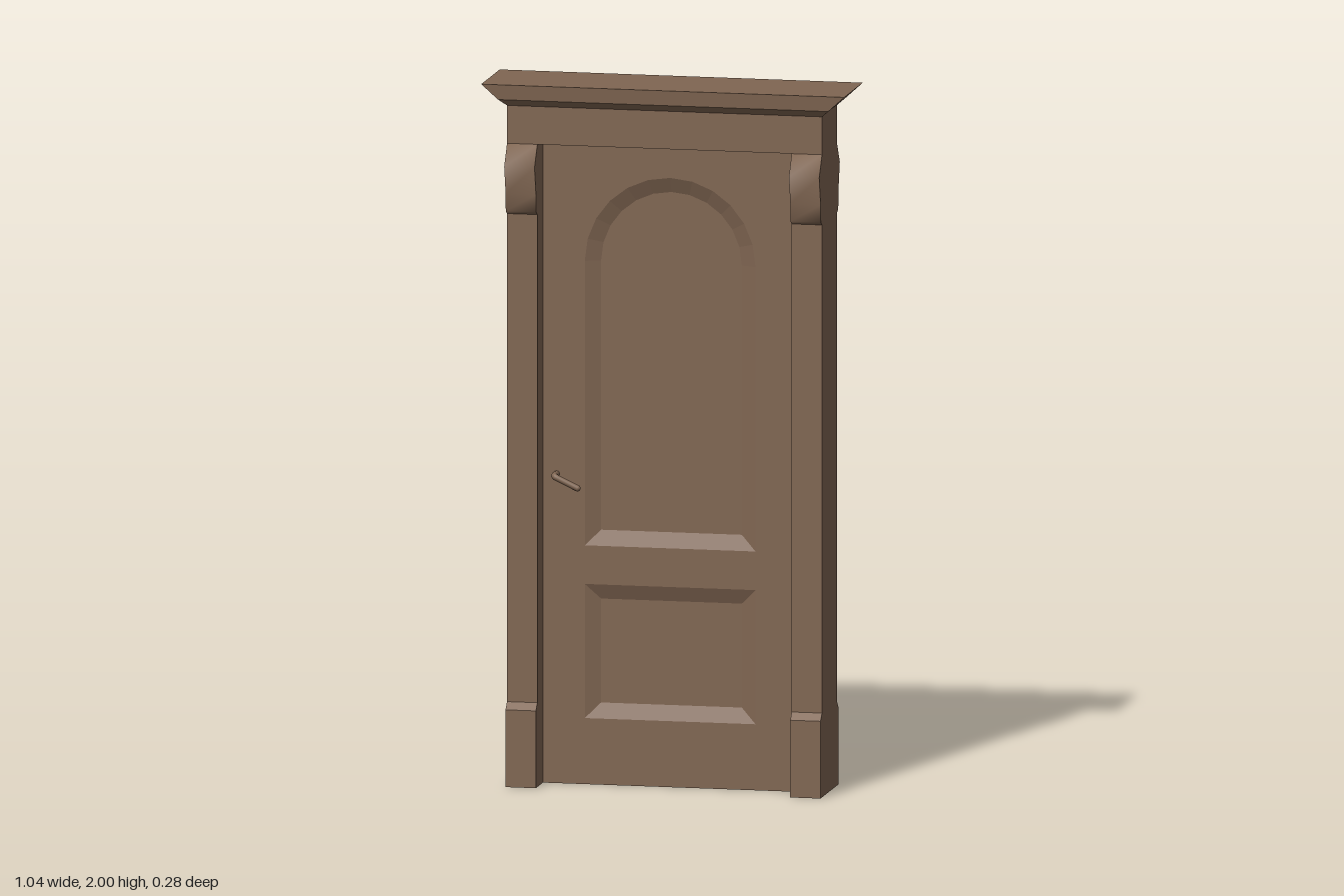
import * as THREE from 'three';
import { toCreasedNormals } from 'three/addons/utils/BufferGeometryUtils.js';
import { ConvexGeometry } from 'three/addons/geometries/ConvexGeometry.js';

const wood = new THREE.MeshStandardMaterial({ color: 0x806652 });
wood.name = 'brownWood';

const INNER = 0.365, OUTER = 0.452, DEPTH = 0.1; // frame opening, outside, half depth
const HEAD = 1.83;                               // underside of the lintel
const FACE = 0.025, RECESS = 0.018;              // door face and panel depth

function add(parent, name, geometry) {
  const mesh = new THREE.Mesh(geometry, wood);
  mesh.name = name;
  parent.add(mesh);
  return mesh;
}

// Extrudes a side profile of [z, y] pairs, mirrored front to back, across a post
function postPiece(profile, crease) {
  const front = profile.map(([z, y]) => new THREE.Vector2(-z, y));
  const back = profile.map(([z, y]) => new THREE.Vector2(z, y)).reverse();
  const geo = new THREE.ExtrudeGeometry(new THREE.Shape([...front, ...back]), {
    depth: OUTER - INNER, bevelEnabled: false,
  });
  geo.rotateY(Math.PI / 2);
  return toCreasedNormals(geo, crease);
}

// Counter-clockwise panel outline, with a flat or round top
function outline(halfWidth, bottom, top, arched) {
  const pts = [new THREE.Vector2(-halfWidth, bottom), new THREE.Vector2(halfWidth, bottom)];
  if (!arched) {
    pts.push(new THREE.Vector2(halfWidth, top), new THREE.Vector2(-halfWidth, top));
    return pts;
  }
  const n = 12;
  for (let i = 0; i <= n; i++) {
    const a = (i / n) * Math.PI;
    pts.push(new THREE.Vector2(halfWidth * Math.cos(a), top - halfWidth + halfWidth * Math.sin(a)));
  }
  return pts;
}

// Sloping band from the door face down to the sunken panel
function slope(outer, inner) {
  const v = [];
  outer.forEach((a, i) => {
    const j = (i + 1) % outer.length;
    const b = outer[j], c = inner[j], d = inner[i];
    const low = FACE - RECESS;
    v.push(a.x, a.y, FACE, b.x, b.y, FACE, c.x, c.y, low);
    v.push(a.x, a.y, FACE, c.x, c.y, low, d.x, d.y, low);
  });
  const geo = new THREE.BufferGeometry();
  geo.setAttribute('position', new THREE.Float32BufferAttribute(v, 3));
  geo.computeVertexNormals();
  return geo;
}

// Door face with its two sunken panels
function doorFace() {
  const group = new THREE.Group();
  const face = new THREE.Shape([
    new THREE.Vector2(-INNER, 0), new THREE.Vector2(INNER, 0),
    new THREE.Vector2(INNER, HEAD), new THREE.Vector2(-INNER, HEAD),
  ]);
  const inset = 0.043;
  const panels = [['upper', 0.68, 1.735, true], ['lower', 0.188, 0.57, false]];
  for (const [name, bottom, top, arched] of panels) {
    const outer = outline(0.245, bottom, top, arched);
    const inner = outline(0.245 - inset, bottom + inset, top - inset, arched);
    face.holes.push(new THREE.Path(outer));
    add(group, name + 'PanelSlope', slope(outer, inner));
    add(group, name + 'Panel', new THREE.ShapeGeometry(new THREE.Shape(inner)))
      .position.z = FACE - RECESS;
  }
  add(group, 'doorSurface', new THREE.ShapeGeometry(face)).position.z = FACE;
  return group;
}

// Lever handle: short stem, bend, sloping grip
function handle(side) {
  const group = new THREE.Group();
  const out = FACE + 0.042;
  const at = (x, y, z) => new THREE.Vector3(x, y, z * side);
  const end = at(-0.257, 0.849, out);
  const path = new THREE.CurvePath();
  path.add(new THREE.LineCurve3(at(-0.326, 0.881, FACE - 0.005), at(-0.326, 0.881, out - 0.012)));
  path.add(new THREE.QuadraticBezierCurve3(
    at(-0.326, 0.881, out - 0.012), at(-0.326, 0.881, out), at(-0.314, 0.8755, out)));
  path.add(new THREE.LineCurve3(at(-0.314, 0.8755, out), end));
  add(group, 'lever', new THREE.TubeGeometry(path, 24, 0.009, 10));
  add(group, 'leverTip', new THREE.SphereGeometry(0.009, 10, 8)).position.copy(end);
  return group;
}

export function createModel() {
  const model = new THREE.Group();
  model.name = 'door';

  // Side posts: plinth, shaft and bracket
  const plinth = [[DEPTH, 0.24], [0.12, 0.22], [0.12, 0]];
  const shaft = [[DEPTH, 1.63], [DEPTH, 0.24]];
  const bracket = [[DEPTH, HEAD], [0.138, 1.77], [0.119, 1.69], [0.117, 1.64], [DEPTH, 1.63]];
  for (const x of [-OUTER, INNER]) {
    const post = new THREE.Group();
    post.name = x < 0 ? 'rightPost' : 'leftPost';
    post.position.x = x;
    add(post, 'plinth', postPiece(plinth, 0.3));
    add(post, 'shaft', postPiece(shaft, 0.3));
    add(post, 'bracket', postPiece(bracket, 1.4));
    model.add(post);
  }

  // Lintel and flared cornice
  add(model, 'lintel', new THREE.BoxGeometry(OUTER * 2, 1.94 - HEAD, DEPTH * 2))
    .position.y = (1.94 + HEAD) / 2;
  const corners = [];
  for (const [x, y, z] of [[OUTER, 1.938, DEPTH], [0.474, 1.957, 0.119], [0.521, 2, 0.124]]) {
    for (const sx of [-1, 1]) for (const sz of [-1, 1]) corners.push(new THREE.Vector3(sx * x, y, sz * z));
  }
  add(model, 'cornice', new ConvexGeometry(corners));

  // Door leaf, alike on both sides
  const leaf = new THREE.Group();
  leaf.name = 'doorLeaf';
  for (const side of [1, -1]) {
    const face = doorFace();
    face.name = side > 0 ? 'frontFace' : 'backFace';
    if (side < 0) face.rotation.y = Math.PI;
    const lever = handle(side);
    lever.name = side > 0 ? 'frontHandle' : 'backHandle';
    leaf.add(face, lever);
  }
  add(leaf, 'bottomEdge', new THREE.PlaneGeometry(INNER * 2, FACE * 2)).rotation.x = Math.PI / 2;
  model.add(leaf);

  return model;
}
